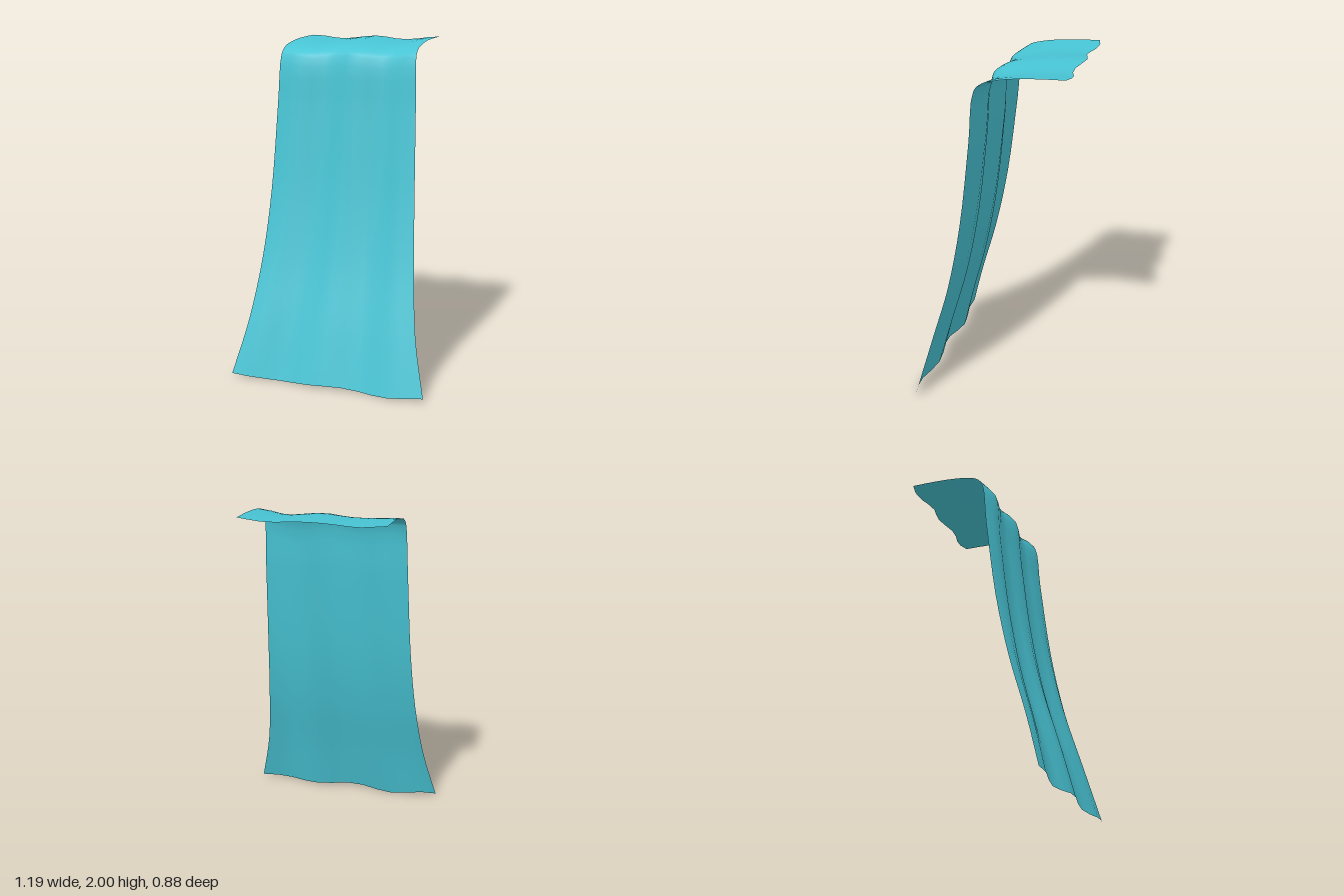
import * as THREE from 'three';

// Centre line of the sheet from back lip to foot, as (half width, y, z)
const spine = new THREE.CatmullRomCurve3([
  [0.413, 1.99, -0.427], [0.414, 1.985, -0.3], [0.415, 1.975, -0.17], [0.418, 1.957, -0.06],
  [0.42, 1.935, 0.01], [0.423, 1.89, 0.055], [0.433, 1.6, 0.088], [0.45, 1.1, 0.15],
  [0.475, 0.7, 0.23], [0.52, 0.33, 0.335], [0.593, 0.013, 0.422],
].map((p) => new THREE.Vector3(...p)));

export function createModel() {
  const group = new THREE.Group();
  group.name = 'waterfall';

  // Flat grid bent along the spine, with drifting folds across its width
  const geometry = new THREE.PlaneGeometry(2, 1, 12, 40);
  const pos = geometry.attributes.position;
  const p = new THREE.Vector3();
  for (let i = 0; i < pos.count; i++) {
    const s = pos.getX(i);
    const t = THREE.MathUtils.clamp(0.5 - pos.getY(i), 0, 1);
    spine.getPoint(t, p);
    const fold = 0.018 * Math.cos(2.5 * Math.PI * (s + 0.5 * t));
    const ripple = 0.009 * Math.cos(2 * Math.PI * s);
    pos.setXYZ(i, s * p.x, p.y + ripple, p.z - fold);
  }
  geometry.computeVertexNormals();

  const material = new THREE.MeshStandardMaterial({ color: 0x48c4d4, side: THREE.DoubleSide });
  const sheet = new THREE.Mesh(geometry, material);
  sheet.name = 'waterSheet';
  group.add(sheet);
  return group;
}
